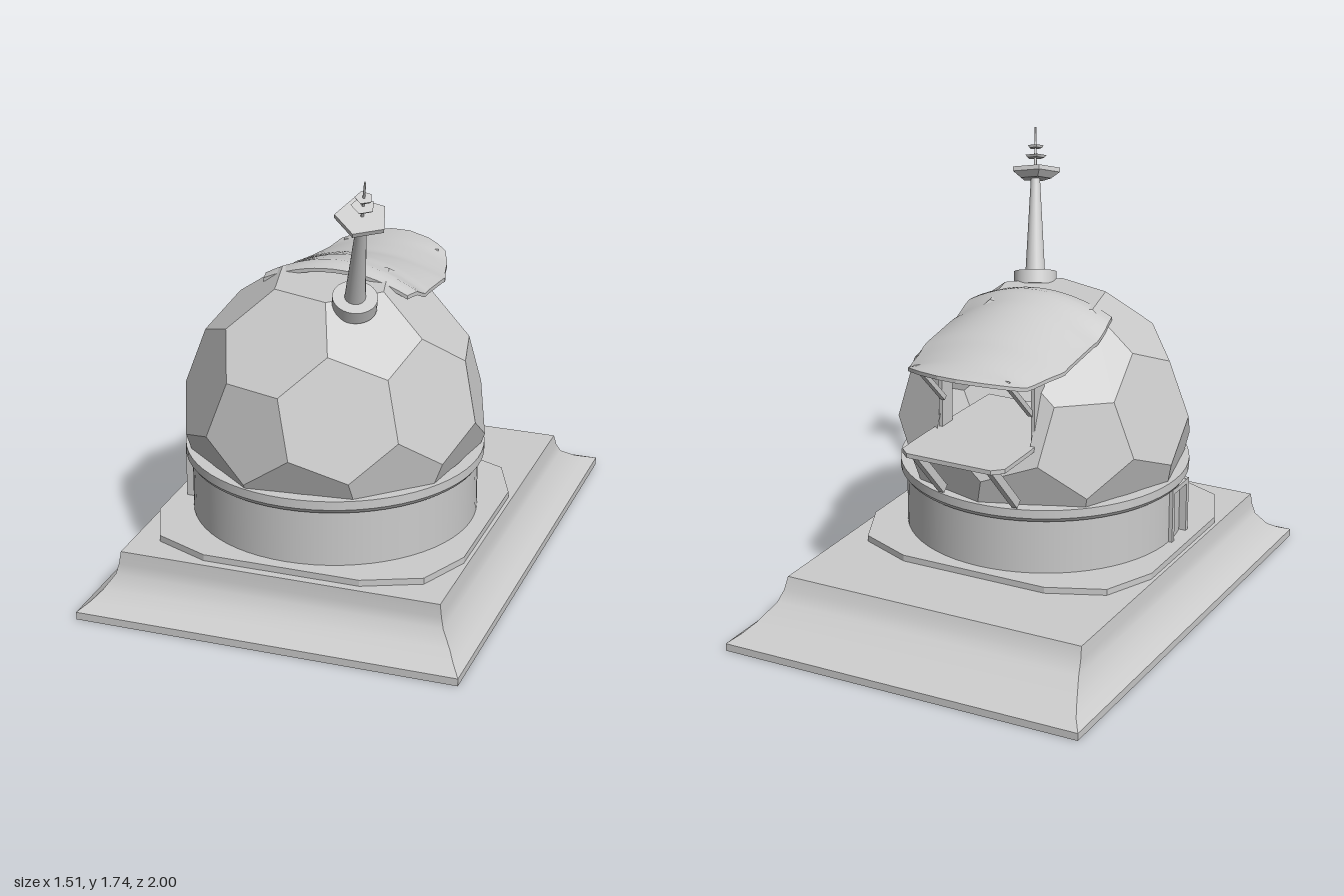
import * as THREE from 'three';
import { ConvexGeometry } from 'three/addons/geometries/ConvexGeometry.js';

const V = (x, y, z) => new THREE.Vector3(x, y, z);
const grey = new THREE.MeshStandardMaterial({ color: 0xcccccc });
const greyDouble = new THREE.MeshStandardMaterial({ color: 0xcccccc, side: THREE.DoubleSide });
const greyFlat = new THREE.MeshStandardMaterial({ color: 0xcccccc, side: THREE.DoubleSide, flatShading: true });
const CZ = 0.2; // z of the dome's axis

function add(parent, name, geometry, x = 0, y = 0, z = 0, material = grey) {
  const mesh = new THREE.Mesh(geometry, material);
  mesh.name = name;
  mesh.position.set(x, y, z);
  parent.add(mesh);
  return mesh;
}

// Square bar between two points
function bar(parent, name, a, b, w, d) {
  const mesh = add(parent, name, new THREE.BoxGeometry(w, d, a.distanceTo(b)));
  mesh.position.copy(a).add(b).multiplyScalar(0.5);
  mesh.lookAt(b);
}

// Piecewise linear lookup in [[t, value], ...]
function lerpTable(table, t) {
  let i = 0;
  while (i < table.length - 2 && t > table[i + 1][0]) i++;
  const [t0, a] = table[i], [t1, b] = table[i + 1];
  return THREE.MathUtils.mapLinear(t, t0, t1, a, b);
}

// Concave flared plinth: four strips through rectangular sections [y, halfX, zBack, zFront]
function flareGeometry() {
  const sections = [[0.03, 0.755, -1, 1], [0.055, 0.72, -0.945, 0.945], [0.085, 0.69, -0.88, 0.895],
    [0.14, 0.652, -0.79, 0.855], [0.18, 0.642, -0.755, 0.845], [0.23, 0.635, -0.735, 0.84]];
  const pos = [], idx = [];
  for (let side = 0; side < 4; side++) {
    const base = pos.length / 3;
    sections.forEach(([y, x, z0, z1], j) => {
      const c = [[-x, z1], [x, z1], [x, z0], [-x, z0]];
      for (const [px, pz] of [c[side], c[(side + 1) % 4]]) pos.push(px, y, pz);
      if (j) {
        const k = base + 2 * (j - 1);
        idx.push(k, k + 1, k + 3, k, k + 3, k + 2);
      }
    });
  }
  const g = new THREE.BufferGeometry();
  g.setAttribute('position', new THREE.Float32BufferAttribute(pos, 3));
  g.setIndex(idx);
  g.computeVertexNormals();
  return g;
}

// Split a convex polygon by a plane into [inside (distance >= 0), outside]
function split(poly, plane) {
  const inside = [], outside = [];
  poly.forEach((p, i) => {
    const q = poly[(i + 1) % poly.length];
    const a = plane.distanceToPoint(p), b = plane.distanceToPoint(q);
    (a >= 0 ? inside : outside).push(p);
    if ((a >= 0) !== (b >= 0)) {
      const m = p.clone().lerp(q, a / (a - b));
      inside.push(m);
      outside.push(m);
    }
  });
  return [inside, outside];
}

// Dome of pentagons and hexagons, cut off at the ring, with a rectangular opening at the back
function domeGeometry() {
  const R = 0.588, ico = [V(0, 0, 1), V(0, 0, -1)];
  for (let k = 0; k < 5; k++) {
    const a = -Math.PI / 2 + k * Math.PI * 0.4;
    const p = V(0.8944 * Math.cos(a), 0.8944 * Math.sin(a), 0.4472);
    ico.push(p, p.clone().negate());
  }
  const f = V(-0.28, 0.16, 0.945).normalize();
  const r = V(0, 1, 0).cross(f).normalize();
  const turn = new THREE.Matrix4().makeBasis(r, f.clone().cross(r), f);
  const points = [];
  for (const a of ico) for (const b of ico) {
    if (a !== b && a.distanceTo(b) < 1.2) {
      points.push(a.clone().lerp(b, 1 / 3).setLength(R).applyMatrix4(turn).add(V(0, 0.655, CZ)));
    }
  }
  const src = new ConvexGeometry(points).getAttribute('position');
  const floor = new THREE.Plane(V(0, 1, 0), -0.5);
  const opening = [new THREE.Plane(V(1, 0, 0), 0.2), new THREE.Plane(V(-1, 0, 0), 0.2),
    new THREE.Plane(V(0, 1, 0), -0.77), new THREE.Plane(V(0, -1, 0), 1.1), new THREE.Plane(V(0, 0, -1), 0)];
  const pos = [];
  const emit = (poly) => {
    for (let i = 2; i < poly.length; i++) {
      for (const p of [poly[0], poly[i - 1], poly[i]]) pos.push(p.x, p.y, p.z);
    }
  };
  for (let i = 0; i < src.count; i += 3) {
    let rest = [0, 1, 2].map((k) => V().fromBufferAttribute(src, i + k));
    rest = split(rest, floor)[0];
    for (const plane of opening) {
      const [inside, outside] = split(rest, plane);
      emit(outside);
      rest = inside;
    }
  }
  const g = new THREE.BufferGeometry();
  g.setAttribute('position', new THREE.Float32BufferAttribute(pos, 3));
  g.computeVertexNormals();
  return g;
}

// Arched canopy: a thin slab bent by tables over t (0 = front, 1 = tip)
function canopyGeometry() {
  const width = [[0, 0.29], [0.1, 0.31], [0.55, 0.305], [0.64, 0.28], [0.78, 0.255], [0.88, 0.22], [0.95, 0.15], [1, 0.04]];
  const ridge = [[0, 1.225], [0.08, 1.24], [0.25, 1.215], [0.55, 1.145], [0.75, 1.13], [1, 1.118]];
  const drop = [[0, 0.07], [0.2, 0.115], [0.5, 0.075], [0.8, 0.06], [0.93, 0.02], [1, 0]];
  const g = new THREE.BoxGeometry(2, 1, 1, 14, 1, 24);
  const p = g.getAttribute('position');
  for (let i = 0; i < p.count; i++) {
    const u = p.getX(i), t = 0.5 - p.getZ(i);
    p.setXYZ(i, u * lerpTable(width, t),
      lerpTable(ridge, t) - lerpTable(drop, t) * u * u + (p.getY(i) - 0.5) * 0.015, 0.2 - 0.793 * t);
  }
  g.computeVertexNormals();
  return g;
}

// Flat slab from an outline of [x, z] points, rising from y = 0
function slab(outline, height) {
  const shape = new THREE.Shape(outline.map(([x, z]) => new THREE.Vector2(x, -z)));
  return new THREE.ExtrudeGeometry(shape, { depth: height, bevelEnabled: false }).rotateX(-Math.PI / 2);
}

export function createModel() {
  const model = new THREE.Group();
  model.name = 'domedObservatory';

  // Plinth
  add(model, 'plinthFoot', new THREE.BoxGeometry(1.51, 0.03, 2), 0, 0.015, 0);
  add(model, 'plinthFlare', flareGeometry());
  add(model, 'plinthTop', new THREE.PlaneGeometry(1.27, 1.575).rotateX(-Math.PI / 2), 0, 0.23, 0.0525);
  const quarter = [[0.62, 0.3], [0.53, 0.51], [0.31, 0.605]];
  const back = [...quarter].reverse();
  const outline = [...quarter, ...back.map(([x, z]) => [-x, z]),
    ...quarter.map(([x, z]) => [-x, -z]), ...back.map(([x, z]) => [x, -z])];
  add(model, 'dais', slab(outline, 0.025), 0, 0.23, CZ);

  // Drum wall, side door and ring
  add(model, 'drum', new THREE.CylinderGeometry(0.555, 0.555, 0.24, 64), 0, 0.37, CZ);
  const door = new THREE.Group();
  door.name = 'door';
  model.add(door);
  for (const s of [-1, 1]) add(door, 'doorPost', new THREE.BoxGeometry(0.03, 0.225, 0.02), -0.555, 0.367, 0.27 + s * 0.065);
  add(door, 'doorLintel', new THREE.BoxGeometry(0.03, 0.02, 0.15), -0.555, 0.468, 0.27);
  const ring = [[0.54, 0.478], [0.568, 0.478], [0.58, 0.495], [0.58, 0.53], [0.53, 0.53]];
  for (let i = 1; i < ring.length; i++) {
    const pair = [ring[i - 1], ring[i]].map(([x, y]) => new THREE.Vector2(x, y));
    add(model, 'domeRing', new THREE.LatheGeometry(pair, 64), 0, 0, CZ, greyDouble);
  }

  // Dome, canopy and rear balcony
  add(model, 'dome', domeGeometry(), 0, 0, 0, greyFlat);
  add(model, 'canopy', canopyGeometry());
  add(model, 'balcony', slab([[-0.2, 0.1], [0.2, 0.1], [0.22, -0.35], [0.22, -0.55], [0.18, -0.588],
    [-0.18, -0.588], [-0.22, -0.55], [-0.22, -0.35]], 0.018), 0, 0.762, 0);
  for (const s of [-1, 1]) {
    add(model, 'openingJamb', new THREE.BoxGeometry(0.015, 0.29, 0.08), s * 0.2, 0.915, -0.25);
    bar(model, 'balconyStrut', V(s * 0.16, 0.55, -0.35), V(s * 0.16, 0.76, -0.545), 0.025, 0.035);
    bar(model, 'canopyStrut', V(s * 0.19, 0.9, -0.285), V(s * 0.19, 1.09, -0.48), 0.02, 0.02);
  }

  // Leaning antenna
  const antenna = new THREE.Group();
  antenna.name = 'antenna';
  antenna.position.set(0.145, 1.165, 0.39);
  antenna.quaternion.setFromUnitVectors(V(0, 1, 0), V(0.125, 0.575, 0.24).normalize());
  model.add(antenna);
  add(antenna, 'antennaCollar', new THREE.CylinderGeometry(0.085, 0.085, 0.055, 32), 0, 0.022, 0);
  add(antenna, 'antennaMast', new THREE.CylinderGeometry(0.018, 0.04, 0.4, 20), 0, 0.24, 0);
  add(antenna, 'antennaDishUnder', new THREE.CylinderGeometry(0.1, 0.065, 0.025, 5), 0, 0.438, 0, greyFlat);
  add(antenna, 'antennaDishRim', new THREE.CylinderGeometry(0.1, 0.1, 0.018, 5), 0, 0.459, 0, greyFlat);
  add(antenna, 'antennaRod', new THREE.CylinderGeometry(0.004, 0.006, 0.18, 8), 0, 0.545, 0);
  for (const [y, r] of [[0.515, 0.045], [0.555, 0.034]]) {
    add(antenna, 'antennaDisc', new THREE.CylinderGeometry(r, r * 0.8, 0.01, 5), 0, y, 0, greyFlat);
  }
  return model;
}
